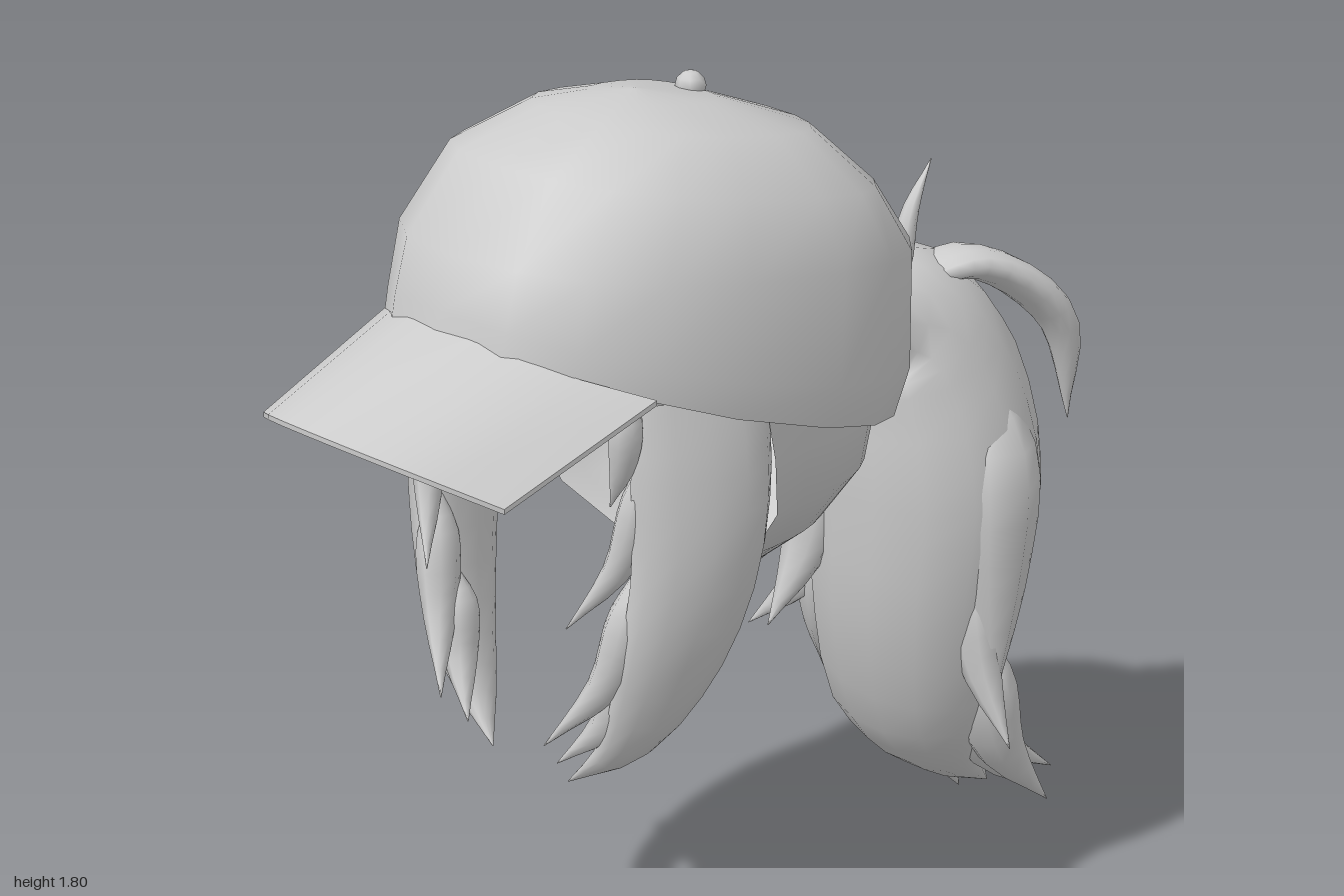
import * as THREE from 'three';

const V = (x, y, z) => new THREE.Vector3(x, y, z);
const X = V(1, 0, 0);
const { lerp } = THREE.MathUtils;

// Skin a list of equally sized rings of points
function loft(rings, closed = true) {
  const n = rings[0].length, index = [];
  for (let i = 0; i < rings.length - 1; i++) {
    for (let j = 0; j < (closed ? n : n - 1); j++) {
      const k = (j + 1) % n, a = i * n + j, b = i * n + k;
      index.push(a, b, b + n, a, b + n, a + n);
    }
  }
  const g = new THREE.BufferGeometry().setFromPoints(rings.flat());
  g.setIndex(index);
  g.computeVertexNormals();
  return g;
}

function addMesh(parent, name, geometry) {
  const material = new THREE.MeshStandardMaterial({ color: 0xcccccc, side: THREE.DoubleSide });
  const mesh = new THREE.Mesh(geometry, material);
  mesh.name = name;
  parent.add(mesh);
  return mesh;
}

// Tapered hair clump; stations are [x, y, z, half width, half thickness]
function clump(parent, name, stations, wide, steps = 14, sides = 12) {
  const path = new THREE.CatmullRomCurve3(stations.map(s => V(s[0], s[1], s[2])));
  const size = new THREE.CatmullRomCurve3(stations.map((s, i) => V(s[3], s[4], i)));
  const rings = [];
  for (let i = 0; i <= steps; i++) {
    const t = i / steps, c = path.getPoint(t), T = path.getTangent(t), s = size.getPoint(t);
    const W = wide.clone().addScaledVector(T, -wide.dot(T)).normalize();
    const N = T.clone().cross(W);
    rings.push(Array.from({ length: sides }, (_, j) => {
      const a = j / sides * Math.PI * 2;
      return c.clone().addScaledVector(W, Math.max(s.x, 0.001) * Math.cos(a))
        .addScaledVector(N, Math.max(s.y, 0.001) * Math.sin(a));
    }));
  }
  addMesh(parent, name, loft(rings));
}

// Loose strand: swells from its root, falls, then flicks out to its tip
function strand(parent, name, [x, y, z], [tx, ty, tz], w, wide = X) {
  const at = (out, down, size) =>
    [lerp(x, tx, out), lerp(y, ty, down), lerp(z, tz, out), w * size, w * size * 0.85];
  clump(parent, name, [at(0, 0, 0), at(0.1, 0.3, 0.95), at(0.35, 0.65, 0.75), at(1, 1, 0)], wide, 10, 8);
}

// Rounded-box-like ellipse coordinate
const soft = v => Math.sign(v) * Math.abs(v) ** 0.86;

function makeCap() {
  const cap = new THREE.Group();
  cap.name = 'cap';

  // Crown: [front z, front y, back z, back y, half width]
  const levels = [
    [0.70, 1.45, -0.29, 1.14, 0.418], [0.69, 1.49, -0.33, 1.24, 0.425],
    [0.66, 1.59, -0.335, 1.47, 0.415], [0.545, 1.735, -0.26, 1.59, 0.355],
    [0.38, 1.795, -0.14, 1.71, 0.24], [0.28, 1.81, 0.04, 1.78, 0.11],
    [0.2, 1.813, 0.199, 1.813, 0.001],
  ];
  const sides = 20;
  addMesh(cap, 'crown', loft(levels.map(([zf, yf, zb, yb, w], i) =>
    Array.from({ length: sides }, (_, j) => {
      const a = j / sides * Math.PI * 2, c = soft(Math.cos(a));
      const mid = lerp(zb, zf, 0.4);
      const z = mid + c * (c > 0 ? zf - mid : mid - zb);
      const t = (z - zb) / (zf - zb);
      const dip = i < 2 ? 0.16 * t * (1 - t) : 0; // the rim sags at the sides
      return V(w * soft(Math.sin(a)), lerp(yb, yf, t) - dip, z);
    }))));

  addMesh(cap, 'button', new THREE.SphereGeometry(0.03, 8, 6)).position.set(0, 1.79, 0.06);

  // Brim: drooping sheet with a thin edge
  const brim = new THREE.Group();
  brim.name = 'brim';
  const across = Array.from({ length: 9 }, (_, i) => i / 4 - 1);
  const inner = drop => across.map(u =>
    V(0.365 * u, 1.46 - 0.095 * u * u - drop, 0.69 - 0.2 * Math.abs(u) ** 2.5));
  const outer = drop => across.map(u =>
    V(0.335 * u, 1.34 - 0.1 * u * u - drop, 1 - 0.17 * u * u));
  const thin = 0.01;
  addMesh(brim, 'brimTop', loft([outer(0), inner(0)], false));
  addMesh(brim, 'brimUnderside', loft([inner(thin), outer(thin)], false));
  addMesh(brim, 'brimEdge', loft([outer(thin), outer(0)], false));
  for (const [i, name] of [[0, 'brimRightEnd'], [8, 'brimLeftEnd']])
    addMesh(brim, name, loft([thin, 0].map(d => [inner(d)[i], outer(d)[i]]), false));
  cap.add(brim);
  return cap;
}

function makeNapeHair(hair) {
  // Shell round the back of the head: [y, half width, back z, front z]
  const levels = [
    [0.81, 0.06, -0.05, 0.03], [0.86, 0.16, -0.13, 0.11], [0.94, 0.27, -0.2, 0.16],
    [1.05, 0.35, -0.27, 0.17], [1.18, 0.385, -0.29, 0.21], [1.32, 0.385, -0.29, 0.24],
  ];
  const n = 24;
  addMesh(hair, 'napeHair', loft(levels.map(([y, w, zb, zf], i) =>
    Array.from({ length: n + 1 }, (_, j) => {
      const a = Math.PI * (0.5 + j / n);
      const ragged = i === 0 && j % 4 === 0 ? 0.03 : 0;
      return V(w * soft(Math.sin(a)), y - ragged, zf + (zf - zb) * soft(Math.cos(a)));
    })), false));
}

function makeFaceHair(hair) {
  // Fringe under the brim
  clump(hair, 'fringe', [[0, 1.4, 0.63, 0.13, 0.04], [0, 1.28, 0.665, 0.095, 0.04],
    [0.03, 1.11, 0.61, 0, 0]], X);
  for (const x of [0.06, -0.03])
    strand(hair, 'fringeTip', [x, 1.36, 0.65], [x, 1.1, 0.61], 0.035);

  // Long locks on both sides of the face, each with loose tips
  for (const s of [1, -1]) {
    const side = new THREE.Group();
    side.name = s > 0 ? 'leftLock' : 'rightLock';
    const W = V(-0.3 * s, 0, 1);
    const lock = [[0.345, 1.34, 0.365, 0.13, 0.03], [0.35, 1.2, 0.365, 0.145, 0.05],
      [0.345, 1.0, 0.375, 0.135, 0.06], [0.3, 0.79, 0.41, 0.11, 0.05],
      [0.22, 0.62, 0.445, 0.06, 0.035], [0.11, 0.52, 0.49, 0, 0]];
    clump(side, 'lock', lock.map(([x, ...rest]) => [x * s, ...rest]), W);
    strand(side, 'upperTip', [s * 0.31, 1.25, 0.465], [s * 0.2, 0.89, 0.57], 0.04, W);
    strand(side, 'middleTip', [s * 0.29, 1.02, 0.465], [s * 0.15, 0.64, 0.585], 0.05, W);
    strand(side, 'lowerTip', [s * 0.26, 0.85, 0.45], [s * 0.13, 0.58, 0.535], 0.05, W);
    strand(side, 'templeWisp', [s * 0.31, 1.38, 0.51], [s * 0.27, 1.14, 0.52], 0.035, W);
    hair.add(side);
  }
}

function makePonytail() {
  const tail = new THREE.Group();
  tail.name = 'ponytail';
  clump(tail, 'tailBody', [[0, 1.2, -0.27, 0.05, 0.05], [0.01, 1.235, -0.36, 0.1, 0.1],
    [0.02, 1.21, -0.49, 0.16, 0.155], [0.02, 1.08, -0.56, 0.21, 0.2],
    [0.02, 0.85, -0.595, 0.25, 0.225], [-0.01, 0.58, -0.59, 0.24, 0.195],
    [-0.05, 0.31, -0.63, 0.205, 0.14], [-0.05, 0.17, -0.71, 0.13, 0.08],
    [-0.04, 0.02, -0.87, 0, 0]], X, 24, 14);

  // Lock arching over the top of the tail
  clump(tail, 'topCurl', [[0.05, 1.29, -0.48, 0.04, 0.02], [0.1, 1.31, -0.62, 0.07, 0.035],
    [0.18, 1.18, -0.79, 0.055, 0.035], [0.17, 0.93, -0.855, 0, 0]], X);

  // Locks and flicks along the sides
  strand(tail, 'uprightTuft', [0.09, 1.26, -0.42], [0.1, 1.55, -0.5], 0.025);
  strand(tail, 'leftLock', [0.16, 1.15, -0.6], [0.24, 0.38, -0.57], 0.13);
  strand(tail, 'leftFlick', [0.17, 0.75, -0.56], [0.3, 0.31, -0.56], 0.06);
  strand(tail, 'rightFlick', [-0.17, 0.95, -0.62], [-0.32, 0.49, -0.69], 0.075);
  strand(tail, 'rightFrontFlick', [-0.14, 0.95, -0.45], [-0.16, 0.52, -0.31], 0.07);
  strand(tail, 'rightSideFlick', [-0.17, 0.8, -0.52], [-0.33, 0.44, -0.42], 0.06);
  strand(tail, 'rightLowFlick', [-0.18, 0.75, -0.5], [-0.26, 0.31, -0.58], 0.07);

  // Tips fanning out at the bottom
  const tips = [[0.03, 0.035, -1.0], [-0.1, 0.19, -0.89], [0.17, 0.06, -0.83],
    [-0.05, 0.03, -0.79], [0.1, 0.04, -0.88]];
  for (const [x, y, z] of tips)
    strand(tail, 'tailTip', [x * 0.7, y + 0.48, -0.63], [x, y, z], 0.085);
  return tail;
}

export function createModel() {
  const model = new THREE.Group();
  model.name = 'cappedHair';
  const hair = new THREE.Group();
  hair.name = 'hair';
  makeNapeHair(hair);
  makeFaceHair(hair);
  hair.add(makePonytail());
  model.add(makeCap(), hair);
  return model;
}
